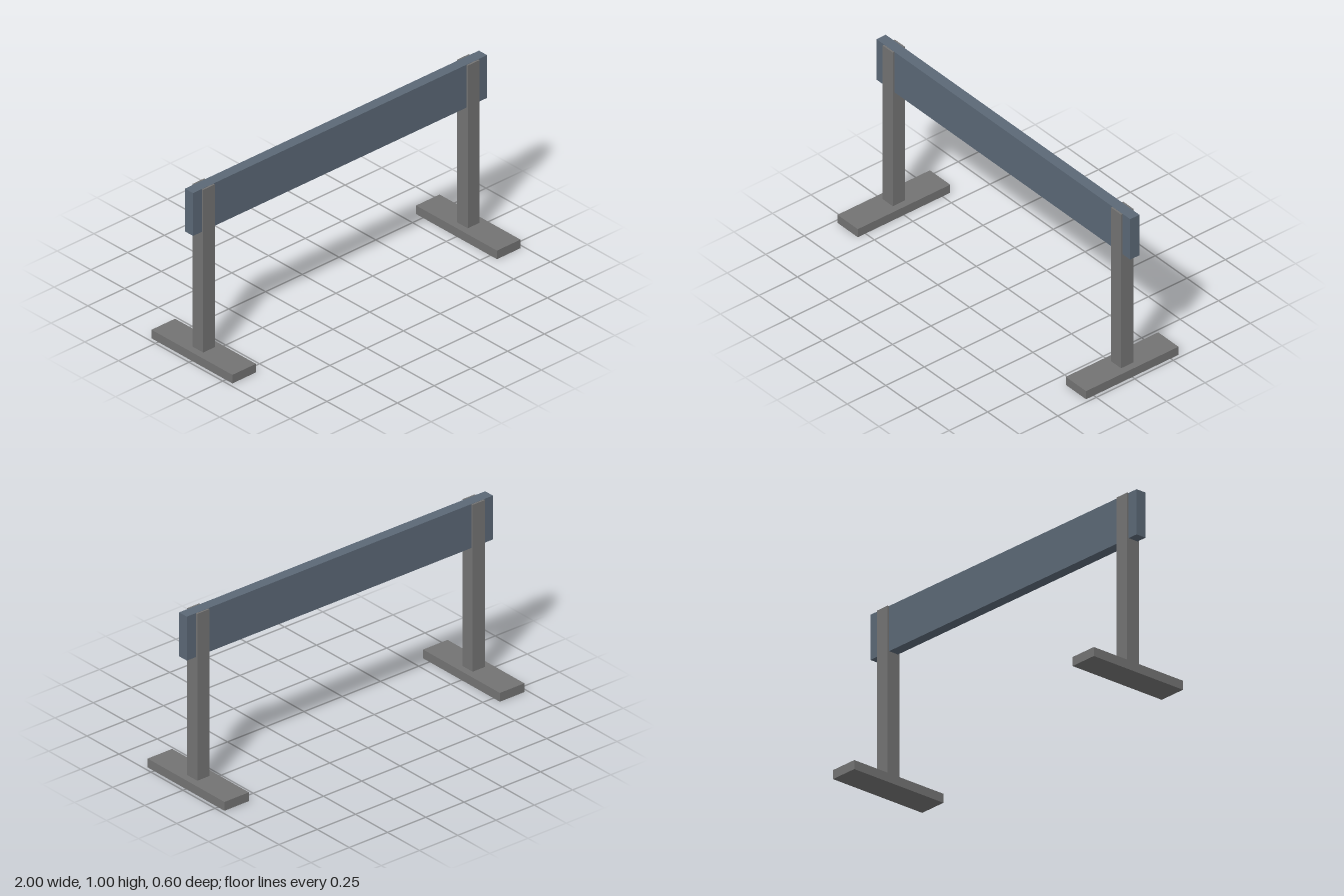
import * as THREE from 'three';

export function createModel() {
  const model = new THREE.Group();
  model.name = 'barrier';

  const boardMaterial = new THREE.MeshStandardMaterial({ color: 0x5b6876 });
  const standMaterial = new THREE.MeshStandardMaterial({ color: 0x737373 });

  // Box standing on height y, centred on x and z of its parent
  function addBox(parent, name, width, height, depth, y, material) {
    const mesh = new THREE.Mesh(new THREE.BoxGeometry(width, height, depth), material);
    mesh.name = name;
    mesh.position.y = y + height / 2;
    parent.add(mesh);
  }

  // Long crossboard
  addBox(model, 'crossboard', 2, 0.25, 0.06, 0.75, boardMaterial);

  // A post on a flat foot at each end; the post stops a hair below the board's top
  for (const side of [1, -1]) {
    const stand = new THREE.Group();
    stand.name = side > 0 ? 'leftStand' : 'rightStand';
    stand.position.x = side * 0.9;
    addBox(stand, 'foot', 0.16, 0.05, 0.6, 0, standMaterial);
    addBox(stand, 'post', 0.08, 0.949, 0.08, 0.05, standMaterial);
    model.add(stand);
  }

  return model;
}
